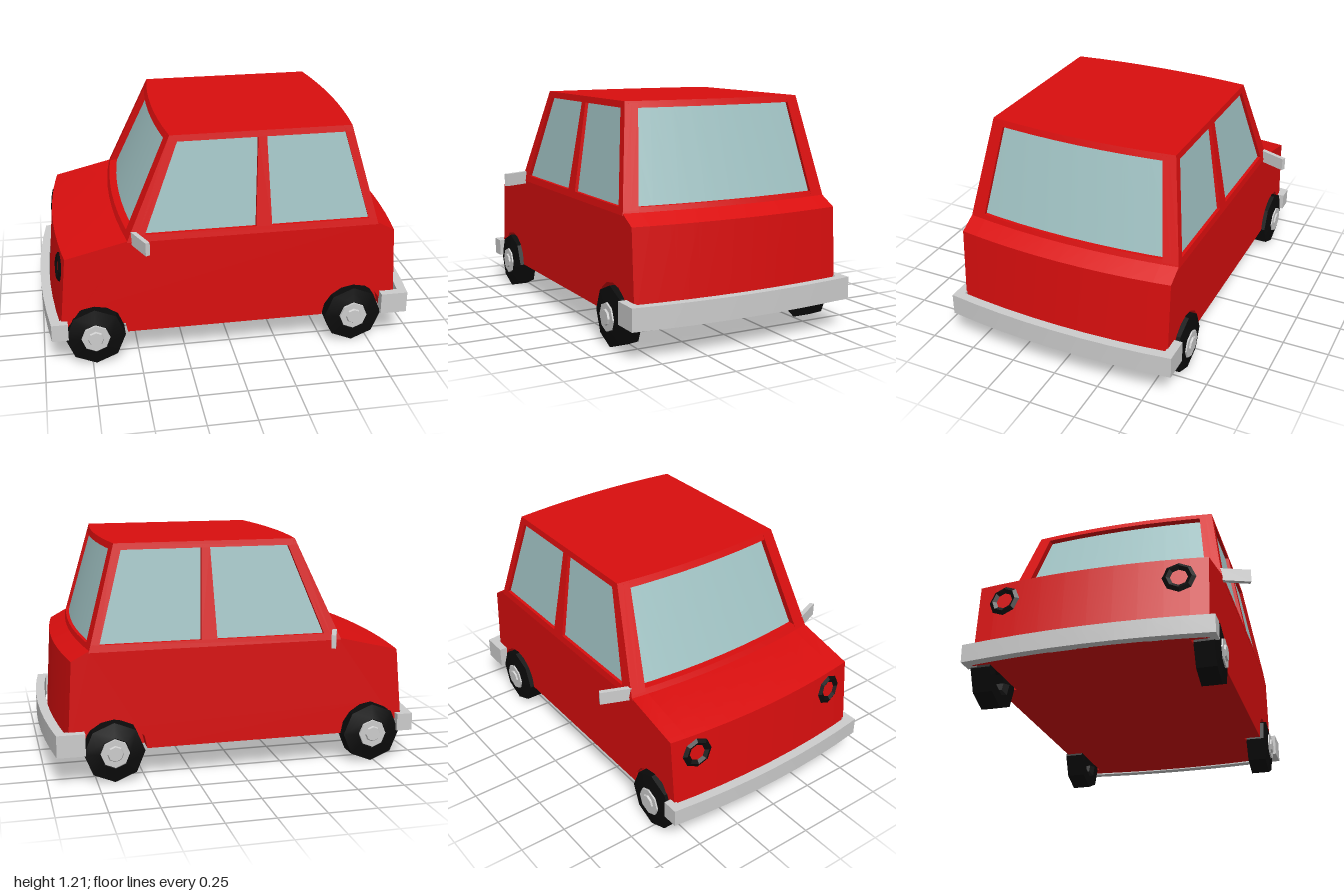
import * as THREE from 'three';
import { toCreasedNormals } from 'three/addons/utils/BufferGeometryUtils.js';

const material = (name, color) => new THREE.MeshStandardMaterial({ name, color });
const lerp = THREE.MathUtils.lerp;

// The nose and tail bow outwards: ends recede towards the sides
const bow = (z) => 0.045 * (z / 0.59) ** 2;
// Cabin outline by height
const height = (y) => (y - 0.69) / 0.52;
const halfWidth = (y) => lerp(0.59, 0.505, height(y));
const frontX = (y) => lerp(-0.59, -0.345, height(y));
const rearX = (y) => lerp(0.82, 0.665, height(y));

// A box whose unit coordinates (u, v, w) are moved by a rule; u carries the segments
function wedge(rule, segments = 1) {
  const g = new THREE.BoxGeometry(1, 1, 1, segments, 1, 1);
  const p = g.attributes.position;
  for (let i = 0; i < p.count; i++) {
    p.setXYZ(i, ...rule(p.getX(i) + 0.5, p.getY(i) + 0.5, p.getZ(i) + 0.5));
  }
  // Keep faces outward if the rule mirrors the box
  const idx = g.index.array;
  const [a, b, c] = [0, 0, 0].map(() => new THREE.Vector3());
  let volume = 0;
  for (let i = 0; i < idx.length; i += 3) {
    a.fromBufferAttribute(p, idx[i]);
    b.fromBufferAttribute(p, idx[i + 1]);
    c.fromBufferAttribute(p, idx[i + 2]);
    volume += a.dot(b.cross(c));
  }
  if (volume < 0) for (let i = 0; i < idx.length; i += 3) [idx[i], idx[i + 1]] = [idx[i + 1], idx[i]];
  return toCreasedNormals(g, 0.4);
}

// Lower body outline, extruded across the car and bowed at both ends
function bodySlice(z0, z1, steps, arches) {
  const s = new THREE.Shape();
  s.moveTo(-0.955, 0.165);
  if (arches) {
    for (const cx of [-0.73, 0.66]) {
      for (let i = 0; i <= 8; i++) {
        const a = Math.PI * (1 - i / 8);
        s.lineTo(cx + 0.17 * Math.cos(a), 0.165 + 0.165 * Math.sin(a));
      }
    }
  }
  s.lineTo(0.94, 0.165);
  s.lineTo(0.912, 0.64);
  s.lineTo(0.82, 0.69);
  s.lineTo(-0.58, 0.69);
  s.lineTo(-0.912, 0.61);
  const g = new THREE.ExtrudeGeometry(s, { depth: z1 - z0, steps, bevelEnabled: false });
  g.translate(0, 0, z0);
  const p = g.attributes.position;
  for (let i = 0; i < p.count; i++) {
    const x = p.getX(i);
    if (Math.abs(x) > 0.905 || p.getY(i) > 0.6) p.setX(i, x - Math.sign(x) * bow(p.getZ(i)));
  }
  return toCreasedNormals(g, 0.4);
}

// Full cabin layer between two heights, optionally set in from the outline
function cabinLayer(y0, y1, inFront = 0, inRear = 0, inSide = 0) {
  return wedge((u, v, w) => {
    const y = lerp(y0, y1, v);
    const z = (2 * u - 1) * (halfWidth(y) - inSide);
    return [lerp(frontX(y) + inFront + bow(z), rearX(y) - inRear - bow(z), w), y, z];
  }, 8);
}

export function createModel() {
  const red = material('red paint', 0xd90e0e);
  const glass = material('window glass', 0xa0c2c3);
  const grey = material('light grey metal', 0xcccccc);
  const black = material('black rubber', 0x0b0b0b);

  const car = new THREE.Group();
  car.name = 'car';
  const add = (name, geometry, mat, parent = car) => {
    const mesh = new THREE.Mesh(geometry, mat);
    mesh.name = name;
    parent.add(mesh);
    return mesh;
  };

  // Lower body: plain core with arched side slabs
  add('bodyCore', bodySlice(-0.5, 0.5, 8, false), red);
  add('leftBodySide', bodySlice(0.5, 0.59, 1, true), red);
  add('rightBodySide', bodySlice(-0.59, -0.5, 1, true), red);

  // Cabin
  add('windows', cabinLayer(0.7, 1.19, 0.04, 0.018, 0.018), glass);
  add('windowSill', cabinLayer(0.68, 0.716), red);
  add('roof', cabinLayer(1.177, 1.21), red);

  for (const side of [1, -1]) {
    const label = side > 0 ? 'left' : 'right';

    // Pillars framing the windscreen and the rear window
    for (const end of [-1, 1]) {
      add(label + (end < 0 ? 'WindscreenPillar' : 'RearWindowPillar'), wedge((u, v, w) => {
        const y = lerp(0.7, 1.2, v);
        const z = side * lerp(0.865, 1, u) * halfWidth(y);
        const x = end < 0 ? frontX(y) : rearX(y);
        return [x - end * (bow(z) + 0.045 * w), y, z];
      }, 2), red);
    }

    // Side pillars, from edge line to edge line
    const sidePillar = (name, from, to) => add(label + name, wedge((u, v, w) => {
      const y = lerp(0.7, 1.19, v);
      return [lerp(from(y), to(y), u), y, side * (halfWidth(y) - 0.035 * w)];
    }), red);
    const line = (bottom, top) => (y) => lerp(bottom, top, (y - 0.715) / 0.46);
    sidePillar('FrontPillar', (y) => frontX(y) + bow(halfWidth(y)), line(-0.455, -0.275));
    sidePillar('MiddlePillar', line(0.12, 0.14), line(0.205, 0.185));
    sidePillar('RearPillar', line(0.735, 0.61), (y) => rearX(y) - bow(halfWidth(y)));

    // Angled door mirror
    add(label + 'Mirror', wedge((u, v, w) => [
      lerp(-0.528, -0.468, u) + 0.022 * w, lerp(0.665, 0.735, v), side * (lerp(0.58, 0.73, u) - 0.01 * w),
    ]), grey);

    // Headlight ring lying on the sloping nose
    const ring = add(label + 'HeadlightRing', toCreasedNormals(new THREE.TorusGeometry(0.063, 0.021, 4, 8), 0.4), black);
    ring.scale.z = 0.6;
    ring.position.set(-0.895, 0.505, side * 0.447);
    ring.rotation.set(0, -Math.PI / 2 + side * 0.115, 0);
    ring.rotateX(-0.1);

    // Wheels
    for (const [place, x] of [['Front', -0.73], ['Rear', 0.66]]) {
      const wheel = new THREE.Group();
      wheel.name = label + place + 'Wheel';
      wheel.position.set(x, 0.16, 0);
      if (side < 0) wheel.rotation.y = Math.PI;
      car.add(wheel);
      const tyre = [[0.06, 0.525], [0.09, 0.505], [0.157, 0.507], [0.157, 0.607], [0.08, 0.622], [0.06, 0.6], [0.06, 0.525]];
      const lathe = new THREE.LatheGeometry(tyre.map(([r, h]) => new THREE.Vector2(r, h)), 8);
      add('tyre', toCreasedNormals(lathe.rotateX(Math.PI / 2), 0.3), black, wheel);
      const disc = (name, r0, r1, z0, z1) => add(name, toCreasedNormals(
        new THREE.CylinderGeometry(r1, r0, z1 - z0, 8).rotateX(Math.PI / 2).translate(0, 0, (z0 + z1) / 2), 0.3), grey, wheel);
      disc('hubcap', 0.08, 0.074, 0.57, 0.628);
      disc('hubCentre', 0.045, 0.038, 0.625, 0.637);
    }
  }

  // Bowed bumpers with ends wrapping round the corners
  const bumper = (name, end, tip, wrap, halfZ, y0, y1) => {
    add(name, wedge((u, v, w) => {
      const z = lerp(-halfZ, halfZ, u);
      return [end * (tip - bow(z * 0.93) - 0.05 * w), lerp(y0, y1, v), z];
    }, 8), grey);
    for (const side of [1, -1]) {
      add(name + 'Corner', wedge((u, v, w) => [
        end * lerp(wrap, tip - 0.055, u), lerp(y0, y1, v), side * lerp(halfZ - 0.05, halfZ, w),
      ]), grey);
    }
  };
  bumper('frontBumper', -1, 1.0, 0.87, 0.628, 0.165, 0.258);
  bumper('rearBumper', 1, 1.0, 0.81, 0.635, 0.162, 0.278);

  return car;
}
